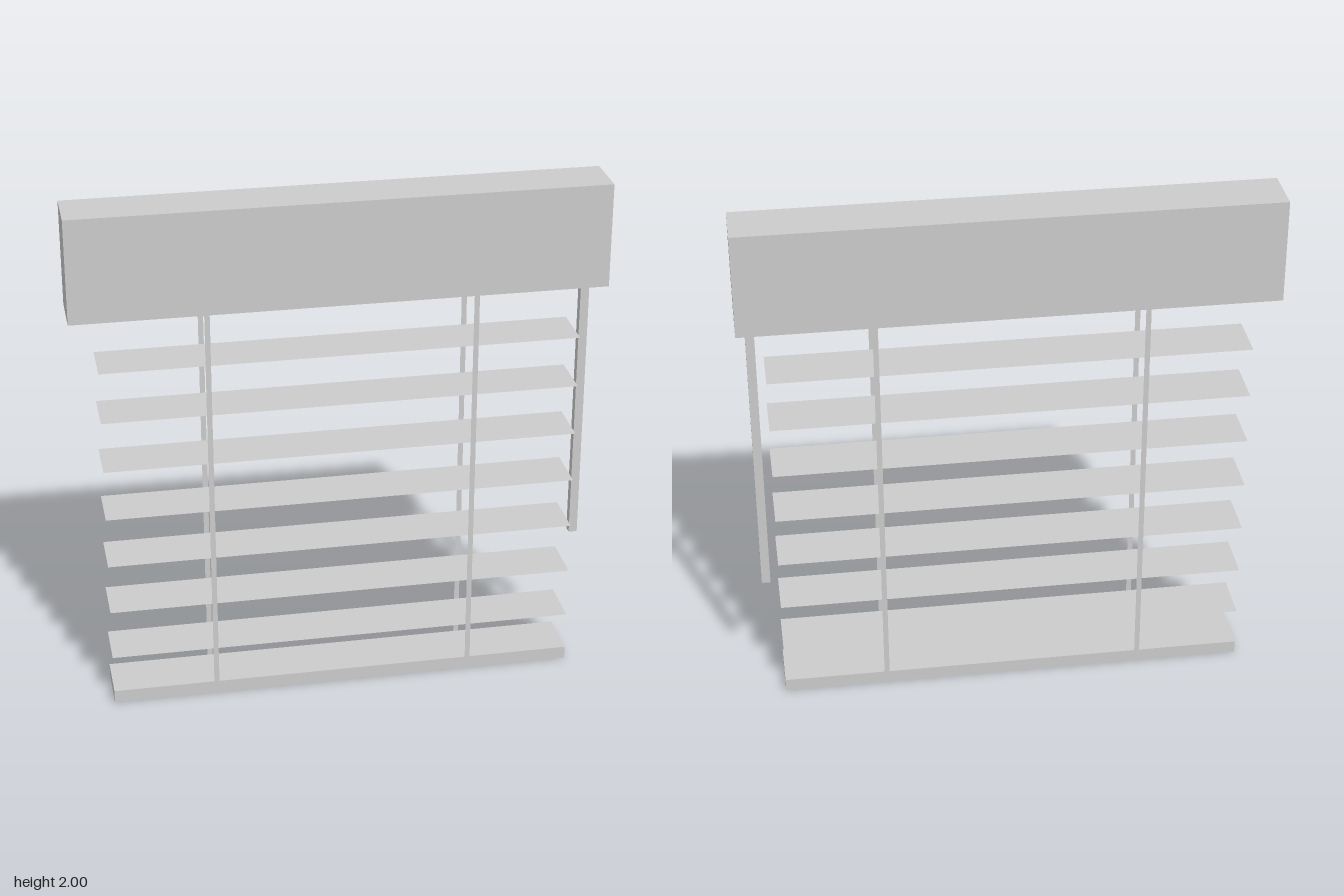
import * as THREE from 'three';

export function createModel() {
  const group = new THREE.Group();
  const solid = new THREE.MeshStandardMaterial({ color: 0xcccccc });
  const thin = new THREE.MeshStandardMaterial({ color: 0xcccccc, side: THREE.DoubleSide });

  function add(name, geometry, material, x, y, z) {
    const mesh = new THREE.Mesh(geometry, material);
    mesh.name = name;
    mesh.position.set(x, y, z);
    group.add(mesh);
    return mesh;
  }

  // Head box and bottom rail
  add('headBox', new THREE.BoxGeometry(2, 0.4, 0.2), solid, 0, 1.8, 0);
  add('bottomRail', new THREE.BoxGeometry(1.8, 0.05, 0.2), solid, 0, 0.025, 0);

  // Seven paper-thin horizontal slats
  const slat = new THREE.PlaneGeometry(1.8, 0.2).rotateX(-Math.PI / 2);
  for (let i = 1; i <= 7; i++) add(`slat${i}`, slat, thin, 0, i * 0.2, 0);

  // Flat ladder tapes, front and back
  const tape = new THREE.PlaneGeometry(0.02, 1.55);
  for (const x of [-0.5, 0.5]) {
    for (const z of [-0.1, 0.1]) {
      const side = x > 0 ? 'Left' : 'Right';
      add(`tape${side}${z > 0 ? 'Front' : 'Back'}`, tape, thin, x, 0.825, z);
    }
  }

  // Square tilt wand
  add('tiltWand', new THREE.BoxGeometry(0.033, 1.1, 0.033), solid, 0.949, 1.05, -0.048);

  return group;
}
